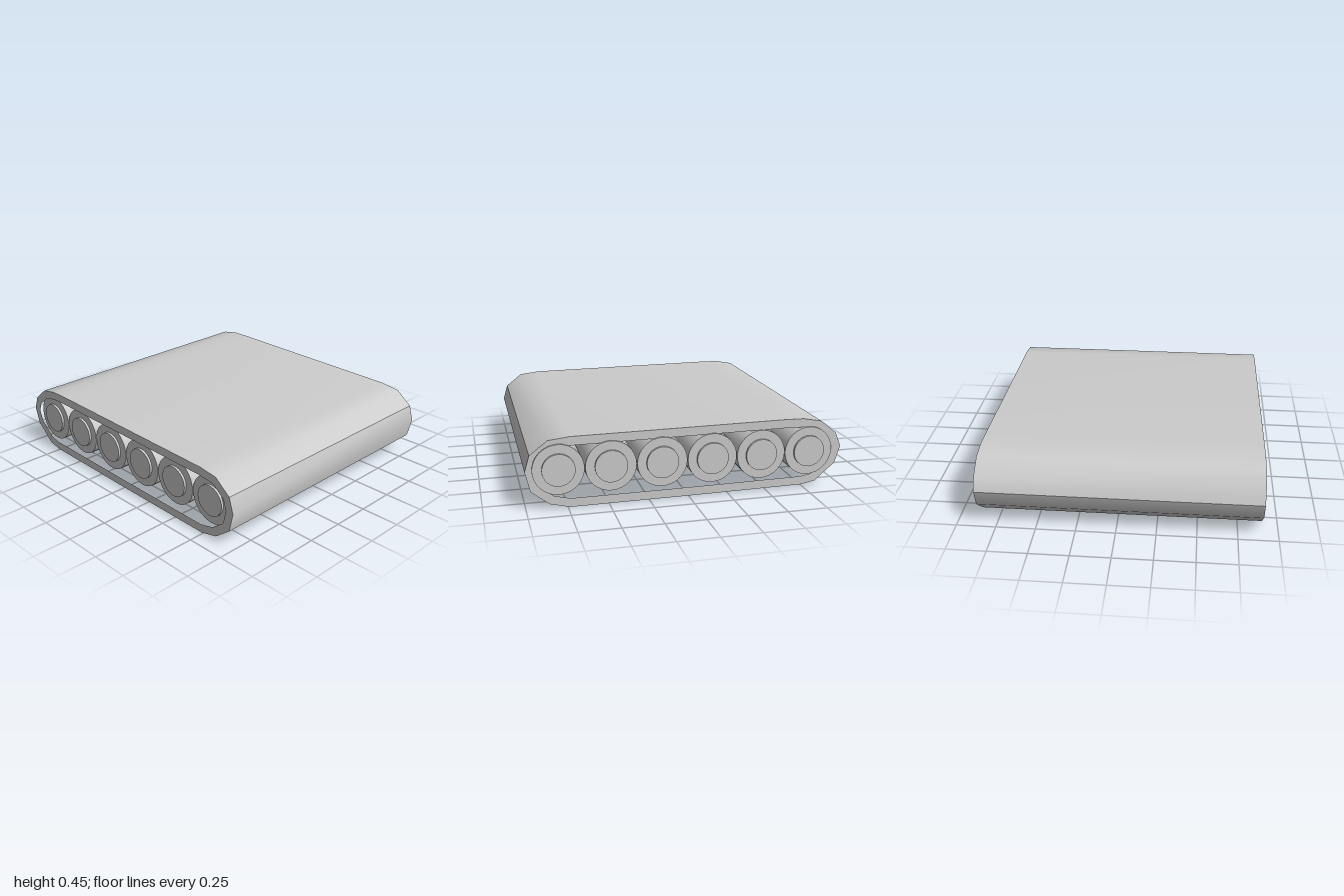
import * as THREE from 'three';
import { toCreasedNormals } from 'three/addons/utils/BufferGeometryUtils.js';

const material = new THREE.MeshStandardMaterial({ color: 0xcccccc });

// Belt outline as [z, y], running from the front end over the top and back underneath
const OUTLINE = [
  [1, 0.24], [0.97, 0.34], [0.86, 0.425], [0.73, 0.44],
  [-0.61, 0.45], [-0.74, 0.448], [-0.86, 0.425], [-0.965, 0.34],
  [-1, 0.25], [-0.965, 0.14], [-0.835, 0.03], [-0.74, 0.012],
  [0, 0.004], [0.74, 0], [0.86, 0.03], [0.97, 0.115],
];

// Moves every corner of a closed outline inward by the belt thickness
function inset(points, distance) {
  const n = points.length;
  return points.map((p, i) => {
    const before = p.clone().sub(points[(i + n - 1) % n]).normalize();
    const after = points[(i + 1) % n].clone().sub(p).normalize();
    const n1 = new THREE.Vector2(before.y, -before.x);
    const n2 = new THREE.Vector2(after.y, -after.x);
    const mid = n1.clone().add(n2).normalize();
    return p.clone().addScaledVector(mid, distance / mid.dot(n1));
  });
}

function createBelt(left, right) {
  const outer = OUTLINE.map(([z, y]) => new THREE.Vector2(-z, y));
  const shape = new THREE.Shape(outer);
  shape.holes.push(new THREE.Path(inset(outer, 0.055)));
  const extruded = new THREE.ExtrudeGeometry(shape, { depth: right - left, bevelEnabled: false });
  extruded.rotateY(Math.PI / 2).translate(left, 0, 0);
  const belt = new THREE.Mesh(toCreasedNormals(extruded, 0.6), material);
  belt.name = 'belt';
  return belt;
}

// Cylinder lying along x
function roller(name, radius, halfLength) {
  const geometry = new THREE.CylinderGeometry(radius, radius, 2 * halfLength, 32);
  geometry.rotateZ(Math.PI / 2);
  const mesh = new THREE.Mesh(geometry, material);
  mesh.name = name;
  return mesh;
}

export function createModel() {
  const model = new THREE.Group();
  model.name = 'trackUnit';
  model.add(createBelt(-0.9, 0.87));

  // Row of rollers, each with a smaller hub standing proud at both ends
  for (let i = 0; i < 6; i++) {
    const wheel = new THREE.Group();
    wheel.name = `wheel${i + 1}`;
    wheel.add(roller('roller', 0.156, 0.88), roller('hub', 0.1, 0.895));
    wheel.position.set(0, 0.244 - i * 0.001, 0.803 - i * 0.316);
    model.add(wheel);
  }
  return model;
}
